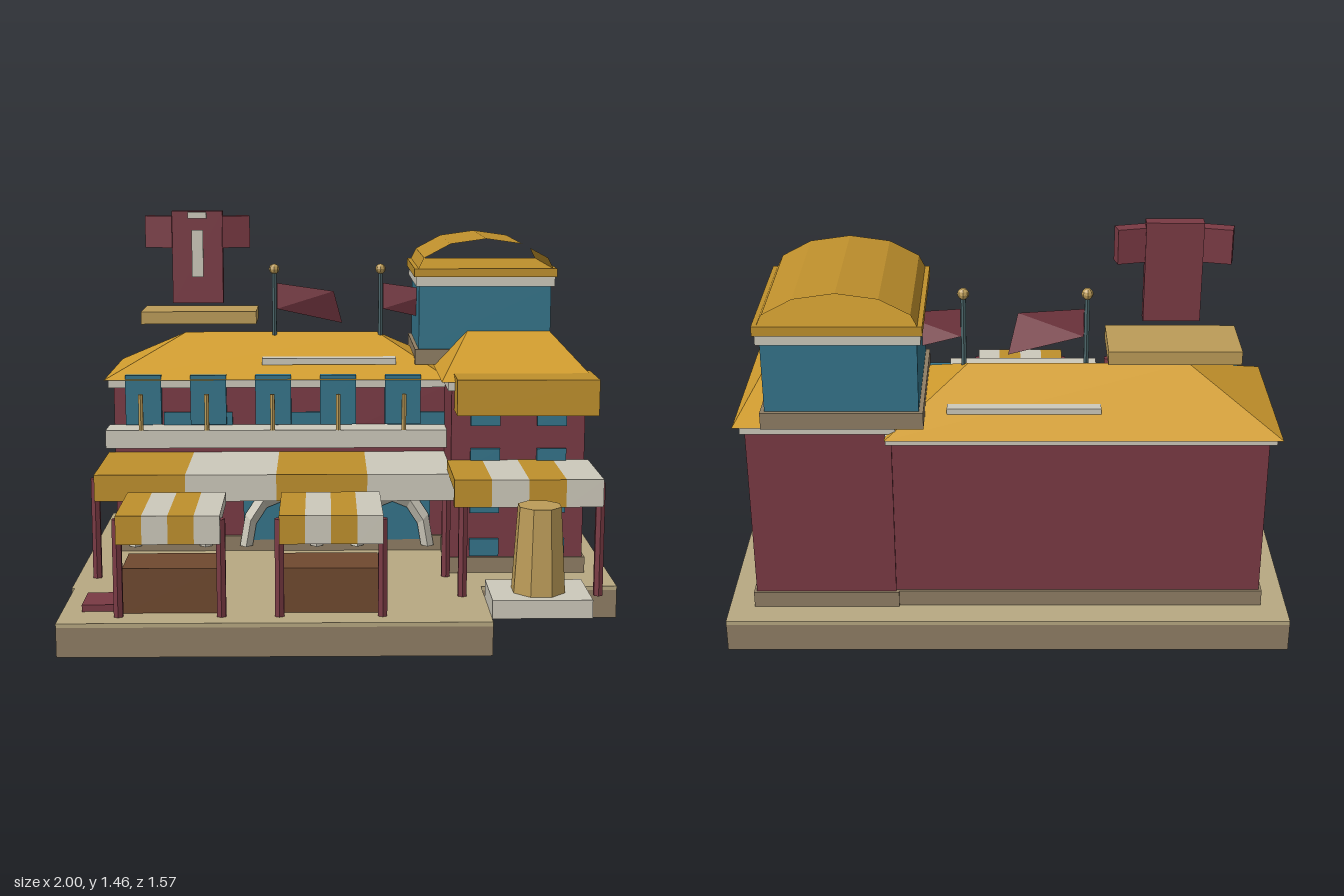
import * as THREE from 'three';

const colors = {
  red: 0x7a3a44, teal: 0x34748a, roof: 0xcf9b2e, gold: 0xbf902c, white: 0xcdc9bb,
  tan: 0xb8a982, stone: 0x8f7e64, wood: 0x70492f, plate: 0xbc9c58, pole: 0x4a6468,
};
const mats = {};
for (const k in colors) mats[k] = new THREE.MeshStandardMaterial({ color: colors[k], flatShading: true });
const thin = (k) => new THREE.MeshStandardMaterial({ color: colors[k], flatShading: true, side: THREE.DoubleSide });

export function createModel() {
  const model = new THREE.Group();

  const add = (name, geo, mat, x = 0, y = 0, z = 0, parent = model) => {
    const m = new THREE.Mesh(geo, typeof mat === 'string' ? mats[mat] : mat);
    m.name = name;
    m.position.set(x, y, z);
    parent.add(m);
    return m;
  };
  // Box given by its limits on each axis
  const box = (name, mat, x0, x1, y0, y1, z0, z1, parent = model) =>
    add(name, new THREE.BoxGeometry(x1 - x0, y1 - y0, z1 - z0), mat, (x0 + x1) / 2, (y0 + y1) / 2, (z0 + z1) / 2, parent);
  const rod = (name, mat, r, x, z, y0, y1, sides = 6) =>
    add(name, new THREE.CylinderGeometry(r, r, y1 - y0, sides), mat, x, (y0 + y1) / 2, z);

  // Hip roof: rectangular eave rising to a ridge along x
  const hipRoof = (name, x0, x1, z0, z1, y0, rx0, rx1, rz, y1) => {
    const g = new THREE.BufferGeometry();
    g.setAttribute('position', new THREE.Float32BufferAttribute([
      x0, y0, z1, x1, y0, z1, x1, y0, z0, x0, y0, z0, rx0, y1, rz, rx1, y1, rz], 3));
    g.setIndex([0, 1, 5, 0, 5, 4, 1, 2, 5, 2, 3, 4, 2, 4, 5, 3, 0, 4, 0, 3, 2, 0, 2, 1]);
    const flat = g.toNonIndexed();
    flat.computeVertexNormals();
    return add(name, flat, 'roof');
  };

  // Striped awning: flat top with a hanging front strip, on two front posts
  const awning = (name, x0, x1, z0, z1, top, posts, postZ) => {
    const g = new THREE.Group();
    g.name = name;
    model.add(g);
    const w = (x1 - x0) / 4;
    for (let i = 0; i < 4; i++) {
      const c = i % 2 ? 'white' : 'gold', a = x0 + i * w;
      box('awningTop', c, a, a + w, top - 0.04, top, z0, z1 - 0.03, g);
      box('awningFront', c, a, a + w, top - 0.1, top, z1 - 0.03, z1, g);
    }
    for (const x of posts) rod('awningPost', 'red', 0.018, x, postZ, 0.12, top - 0.02);
  };

  // Ground, notched at the front left
  for (const [x0, x1, z0, z1] of [[-1, 1, -0.785, 0.365], [-0.99, 0.5, 0.365, 0.785]]) {
    box('groundBase', 'stone', x0, x1, 0, 0.105, z0, z1);
    box('groundTop', 'tan', x0, x1, 0.105, 0.12, z0, z1);
  }

  // Main hall
  box('hallPlinth', 'stone', -0.91, 0.4, 0.12, 0.18, -0.68, -0.15);
  box('hallWalls', 'red', -0.9, 0.41, 0.18, 0.785, -0.67, -0.165);
  box('hallTrim', 'white', -0.92, 0.42, 0.78, 0.815, -0.7, -0.145);
  hipRoof('hallRoof', -0.935, 0.42, -0.73, -0.13, 0.812, -0.635, 0.14, -0.43, 0.965);
  box('roofStrip', 'white', -0.32, 0.21, 0.86, 0.885, -0.28, -0.215);
  box('roofStrip', 'white', -0.32, 0.21, 0.86, 0.885, -0.63, -0.595);
  box('balcony', 'white', -0.92, 0.41, 0.56, 0.63, -0.17, -0.04);
  for (let i = 0; i < 5; i++) {
    const x = -0.782 + i * 0.254;
    box('upperWindow', 'teal', x - 0.07, x + 0.07, 0.635, 0.83, -0.168, -0.135);
    rod('balconyPost', 'plate', 0.01, x, -0.045, 0.63, 0.77);
  }
  // Arched ground-floor windows
  for (let i = 0; i < 3; i++) {
    const x = -0.685 + i * 0.44;
    box('shopWindow', 'teal', x - 0.15, x + 0.15, 0.165, 0.42, -0.17, -0.148);
    const arch = add('windowArch', new THREE.TorusGeometry(0.14, 0.025, 4, 6, Math.PI), 'white', x, 0.145, -0.135);
    arch.scale.y = 1.55;
    box('lowUpperWindow', 'teal', x - 0.02, x + 0.25, 0.6, 0.68, -0.17, -0.155);
  }

  // Side wing
  box('wingPlinth', 'stone', 0.39, 0.91, 0.12, 0.18, -0.69, 0.18);
  box('wingWalls', 'red', 0.4, 0.9, 0.18, 0.82, -0.68, 0.17);
  box('wingTrim', 'white', 0.385, 0.915, 0.82, 0.857, -0.695, 0.19);
  hipRoof('wingRoof', 0.36, 0.935, -0.72, 0.21, 0.856, 0.5, 0.81, -0.25, 1.0);
  box('wingCanopy', 'gold', 0.41, 0.93, 0.745, 0.878, 0.07, 0.3);
  for (const x of [0.527, 0.775])
    for (const y of [0.22, 0.387, 0.567, 0.72])
      box('wingWindow', 'teal', x - 0.055, x + 0.055, y - 0.033, y + 0.033, 0.165, 0.186);

  // Tower with an open barrel roof
  box('towerBase', 'stone', 0.285, 0.835, 0.86, 0.92, -0.735, -0.21);
  box('towerWalls', 'teal', 0.3, 0.82, 0.92, 1.17, -0.72, -0.225);
  box('towerTrim', 'white', 0.287, 0.833, 1.17, 1.207, -0.735, -0.21);
  box('towerRoofSlab', 'gold', 0.28, 0.84, 1.207, 1.24, -0.745, -0.2);
  const barrel = new THREE.CylinderGeometry(0.28, 0.28, 0.545, 6, 1, true, Math.PI / 2, Math.PI);
  barrel.rotateX(Math.PI / 2).scale(1, 0.15 / 0.28, 1);
  add('towerBarrelRoof', barrel, thin('gold'), 0.56, 1.207, -0.4725);

  // Flags on the roof ridge
  for (const x of [-0.275, 0.155]) {
    rod('flagPole', 'pole', 0.01, x, -0.415, 0.94, 1.22);
    add('flagBall', new THREE.SphereGeometry(0.021, 8, 6), 'plate', x, 1.222, -0.415);
    const flag = new THREE.BufferGeometry();
    flag.setAttribute('position', new THREE.Float32BufferAttribute([
      0.01, 1.165, -0.415, 0.01, 1.06, -0.415, 0.275, 1.0, -0.435, 0.24, 1.135, -0.38], 3));
    flag.setIndex([0, 1, 3, 1, 2, 3]);
    flag.computeVertexNormals();
    add('flag', flag, thin('red'), x, 0, 0);
  }

  // Rooftop shirt sign
  box('signPlate', 'plate', -0.805, -0.345, 1.01, 1.06, -0.545, -0.315);
  box('shirtBody', 'red', -0.675, -0.475, 1.095, 1.46, -0.36, -0.31);
  box('shirtStripe', 'white', -0.597, -0.552, 1.2, 1.385, -0.315, -0.303);
  box('shirtCollar', 'white', -0.612, -0.538, 1.43, 1.455, -0.315, -0.303);
  for (const s of [-1, 1]) {
    const sleeve = box('shirtSleeve', 'red', -0.055, 0.055, 1.315, 1.44, -0.025, 0.025);
    sleeve.position.x = -0.575 + s * 0.148;
    sleeve.position.z = -0.34;
    sleeve.rotation.y = s * 0.22;
  }

  // Awnings, stalls and their counters
  awning('hallAwning', -0.925, 0.42, -0.17, 0.26, 0.52, [-0.925, 0.38], 0.22);
  awning('wingAwning', 0.385, 0.915, 0.17, 0.515, 0.555, [0.42, 0.91], 0.475);
  for (const x of [-0.785, -0.23]) {
    awning('stallAwning', x, x + 0.355, 0.39, 0.745, 0.485, [x, x + 0.355], 0.705);
    box('stallCounter', 'wood', x + 0.01, x + 0.345, 0.12, 0.28, 0.47, 0.67);
  }
  box('mat', 'red', -0.92, -0.785, 0.12, 0.145, 0.5, 0.65);

  // Tapered monument on a pedestal
  box('pedestal', 'white', 0.5, 0.845, 0.12, 0.185, 0.495, 0.75);
  const monument = add('monument', new THREE.CylinderGeometry(0.078, 0.097, 0.305, 8), 'plate', 0.672, 0.337, 0.625);
  monument.rotation.y = Math.PI / 8;

  return model;
}
